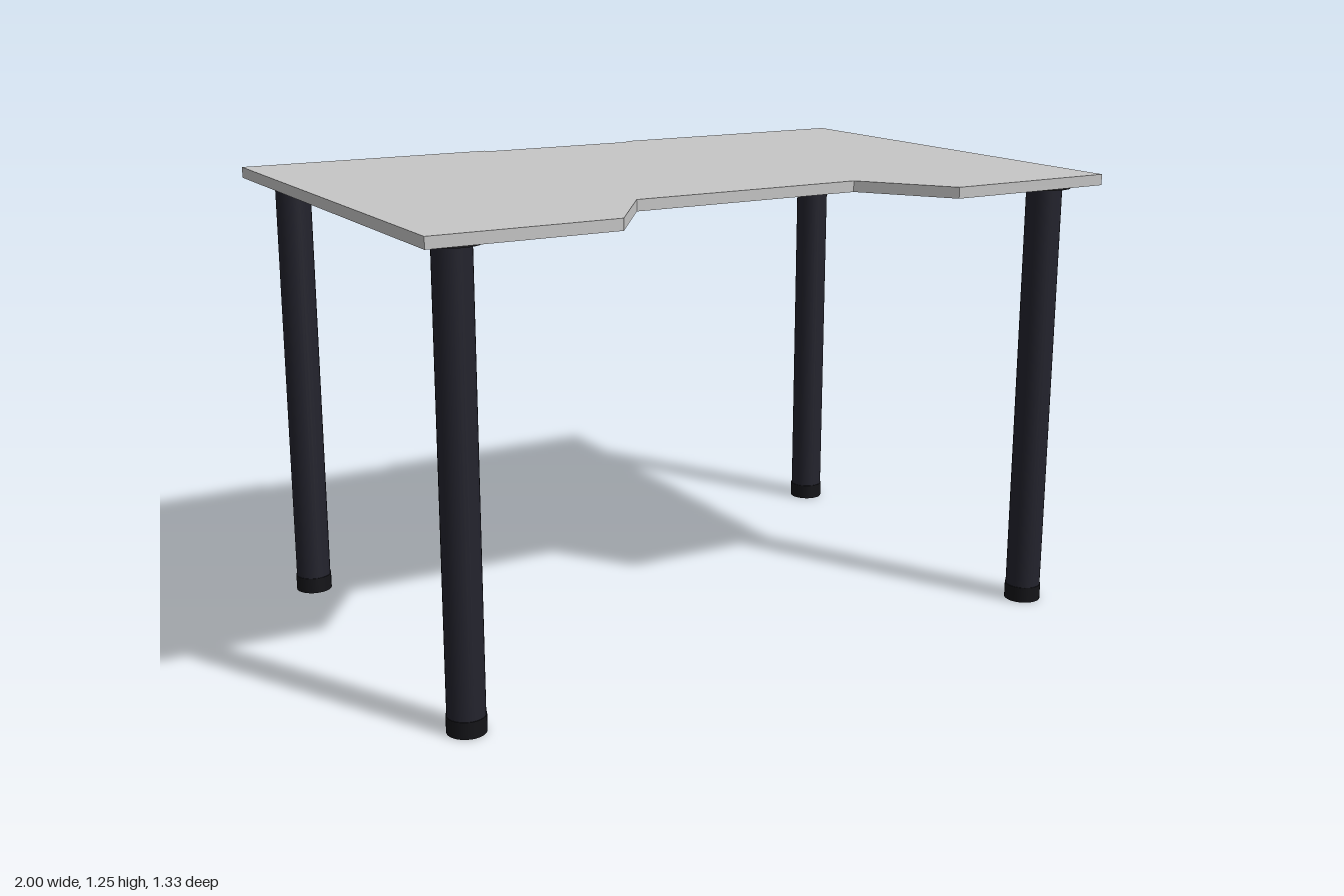
import * as THREE from 'three';

const TOP_Y = 1.253, THICK = 0.03, UNDER = TOP_Y - THICK;

export function createModel() {
  const model = new THREE.Group();
  model.name = 'desk';

  const mat = (name, color) => {
    const m = new THREE.MeshStandardMaterial({ color });
    m.name = name;
    return m;
  };
  const grey = mat('light grey', 0xc6c6c6);
  const dark = mat('dark blue grey', 0x23232d);
  const black = mat('black', 0x141418);

  const add = (parent, name, geometry, material, y = 0) => {
    const mesh = new THREE.Mesh(geometry, material);
    mesh.name = name;
    mesh.position.y = y;
    parent.add(mesh);
    return mesh;
  };

  // Desktop: right half of the outline as (x, z), front notch to back notch, then mirrored
  const half = [[0.333, 0.43], [0.5, 0.667], [1, 0.667], [1, -0.667], [0.25, -0.667], [0.228, -0.648]];
  const outline = [...half, ...half.map(([x, z]) => [-x, z]).reverse()];
  const shape = new THREE.Shape(outline.map(([x, z]) => new THREE.Vector2(x, -z)));
  const topGeo = new THREE.ExtrudeGeometry(shape, { depth: THICK, bevelEnabled: false });
  topGeo.rotateX(-Math.PI / 2);
  add(model, 'desktop', topGeo, grey, UNDER);

  // Four legs, each with a foot and a mounting flange
  const FOOT = 0.045, FLANGE = 0.011;
  const legLength = UNDER - FLANGE - FOOT;
  const legGeo = new THREE.CylinderGeometry(0.049, 0.049, legLength, 32);
  const footGeo = new THREE.CylinderGeometry(0.051, 0.051, FOOT, 32);
  const flangeGeo = new THREE.CylinderGeometry(0.072, 0.072, FLANGE, 32);
  for (const [sx, side] of [[1, 'Left'], [-1, 'Right']]) {
    for (const [sz, end] of [[1, 'front'], [-1, 'back']]) {
      const leg = new THREE.Group();
      leg.name = `${end}${side}Leg`;
      leg.position.set(sx * 0.89, 0, sz * 0.56);
      add(leg, 'foot', footGeo, black, FOOT / 2);
      add(leg, 'post', legGeo, dark, FOOT + legLength / 2);
      add(leg, 'flange', flangeGeo, black, UNDER - FLANGE / 2);
      model.add(leg);
    }
  }
  return model;
}
